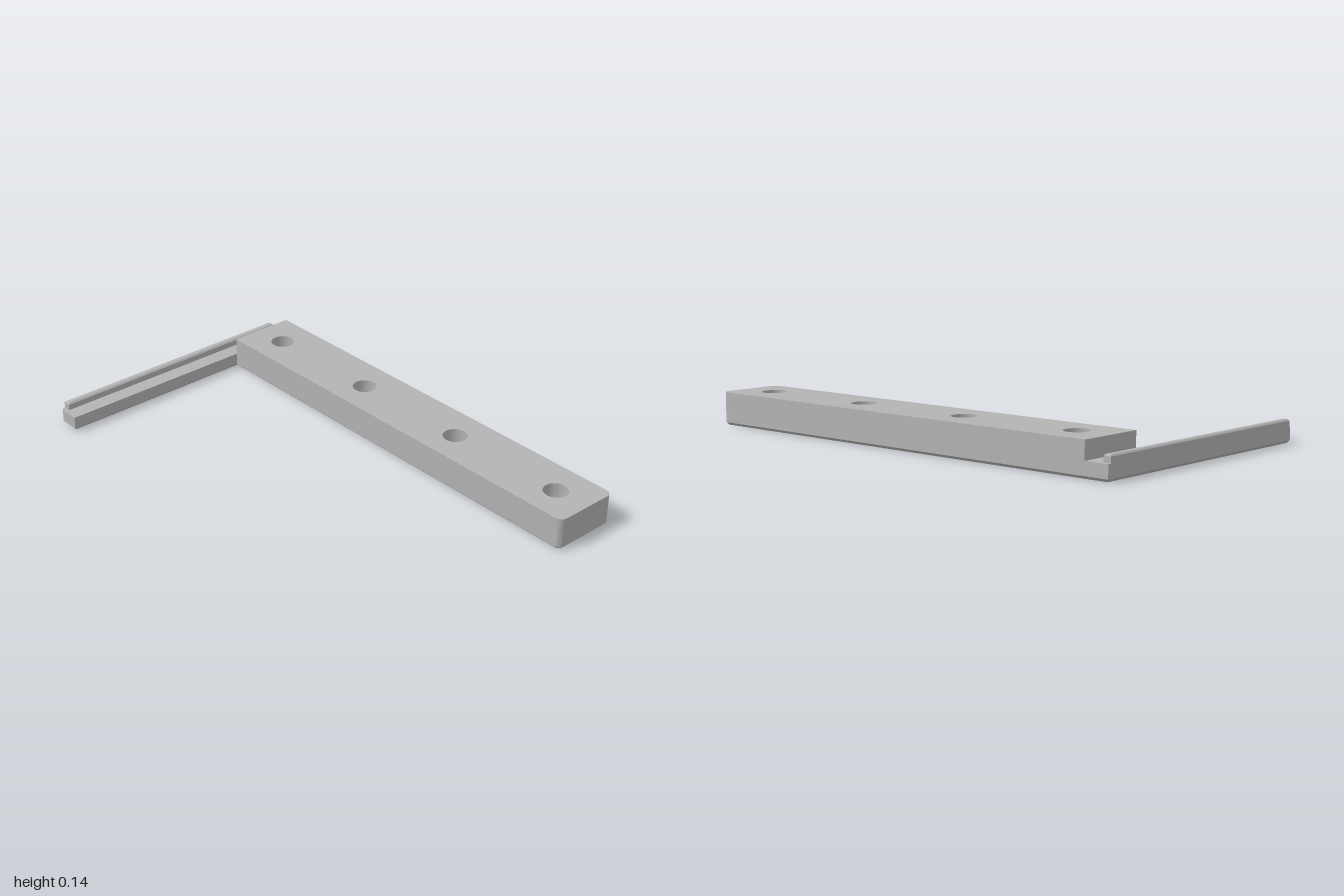
import * as THREE from 'three';
import { mergeGeometries, toCreasedNormals } from 'three/addons/utils/BufferGeometryUtils.js';

// Plan coordinates are (x, -z); corners run counter-clockwise as [x, y, radius].
// Returns the outline with rounded corners, moved inwards by d.
function outline(corners, d = 0) {
  const pts = [];
  corners.forEach(([x, y, r = 0], i) => {
    const n = corners.length;
    const p = new THREE.Vector2(x, y);
    const u = new THREE.Vector2(...corners[(i + n - 1) % n].slice(0, 2)).sub(p).normalize();
    const v = new THREE.Vector2(...corners[(i + 1) % n].slice(0, 2)).sub(p).normalize();
    const convex = v.cross(u) > 0;
    p.addScaledVector(u, convex ? d : -d).addScaledVector(v, convex ? d : -d);
    if (!r) { pts.push(p); return; }
    const rad = r - d;
    const c = p.clone().addScaledVector(u, rad).addScaledVector(v, rad);
    for (let k = 0; k <= 8; k++) {
      const t = (k / 8) * Math.PI / 2;
      pts.push(c.clone().addScaledVector(v, -rad * Math.cos(t)).addScaledVector(u, -rad * Math.sin(t)));
    }
  });
  return pts;
}

function circle(x, y, r, n = 32) {
  return Array.from({ length: n }, (_, i) => {
    const a = (i / n) * Math.PI * 2;
    return new THREE.Vector2(x + r * Math.cos(a), y + r * Math.sin(a));
  });
}

// Wall between a lower and an upper outline with equal point counts
function wall(low, y0, high, y1) {
  const pos = [];
  low.forEach((a, i) => {
    const j = (i + 1) % low.length;
    const b = low[j], c = high[j], e = high[i];
    pos.push(a.x, y0, -a.y, b.x, y0, -b.y, c.x, y1, -c.y);
    pos.push(a.x, y0, -a.y, c.x, y1, -c.y, e.x, y1, -e.y);
  });
  const g = new THREE.BufferGeometry();
  g.setAttribute('position', new THREE.Float32BufferAttribute(pos, 3));
  return g;
}

// Flat face at height y with optional holes, facing up or down
function cap(pts, y, holes = [], down = false) {
  const shape = new THREE.Shape(pts);
  shape.holes = holes.map((h) => new THREE.Path(h));
  const g = new THREE.ShapeGeometry(shape).rotateX(-Math.PI / 2).translate(0, y, 0).toNonIndexed();
  g.deleteAttribute('normal');
  g.deleteAttribute('uv');
  if (down) {
    const p = g.attributes.position.array;
    for (let i = 0; i < p.length; i += 9) {
      for (let k = 0; k < 3; k++) [p[i + 3 + k], p[i + 6 + k]] = [p[i + 6 + k], p[i + 3 + k]];
    }
  }
  return g;
}

export function createModel() {
  const group = new THREE.Group();
  const grey = new THREE.MeshStandardMaterial({ color: 0xb3b3b3 });
  grey.name = 'grey';
  const add = (name, parts) => {
    const mesh = new THREE.Mesh(toCreasedNormals(mergeGeometries(parts), 0.5), grey);
    mesh.name = name;
    group.add(mesh);
  };

  const ledgeY = 0.063, topY = 0.135, floorY = 0.035, chamfer = 0.011;
  const holeX = 0.425, holeZ = [-0.75, -0.217, 0.315, 0.847];
  const screwHoles = holeZ.map((z) => circle(holeX, -z, 0.011));
  const sockets = holeZ.map((z) => circle(holeX, -z, 0.05));

  // L-shaped base with a chamfered underside and a ledge on the cross arm
  const lShape = [[-0.57, 1, 0.018], [-0.57, 0.9], [0.285, 0.9], [0.285, -1, 0.03], [0.57, -1, 0.03], [0.57, 1]];
  const full = outline(lShape), inset = outline(lShape, chamfer);
  const ledge = outline([[-0.57, 1, 0.018], [-0.57, 0.9], [0.57, 0.9], [0.57, 1]]);
  add('base', [
    cap(inset, 0, screwHoles, true),
    wall(inset, 0, full, chamfer),
    wall(full, chamfer, full, ledgeY),
    cap(ledge, ledgeY),
  ]);

  // Raised long arm
  const arm = outline([[0.285, 0.9], [0.285, -1, 0.03], [0.57, -1, 0.03], [0.57, 0.9]]);
  add('longArm', [wall(arm, ledgeY, arm, topY), cap(arm, topY, sockets)]);

  // Counterbored screw holes
  holeZ.forEach((z, i) => {
    const socket = [...sockets[i]].reverse(), screw = [...screwHoles[i]].reverse();
    add('screwHole' + (i + 1), [
      wall(socket, floorY, socket, topY),
      cap(sockets[i], floorY, [screwHoles[i]]),
      wall(screw, 0, screw, floorY),
    ]);
  });

  // Narrow lip along the back of the cross arm, with bevelled top edges
  const lip = [[-0.55, 1], [-0.55, 0.968], [0.555, 0.968], [0.555, 1]];
  const lipFull = outline(lip), lipTop = outline(lip, 0.006);
  add('backLip', [
    wall(lipFull, ledgeY, lipFull, 0.087),
    wall(lipFull, 0.087, lipTop, 0.093),
    cap(lipTop, 0.093),
  ]);

  return group;
}
